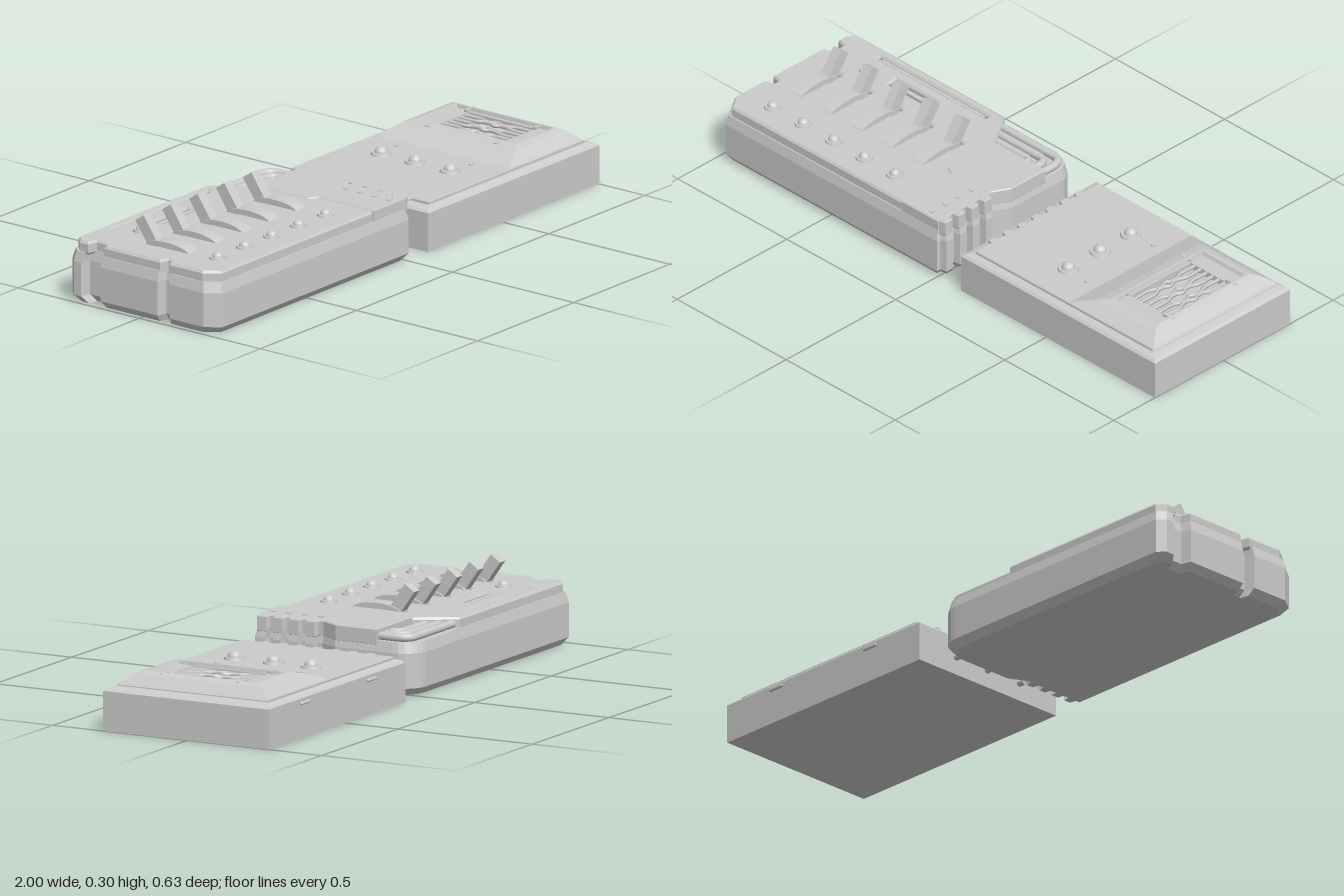
import * as THREE from 'three';

const grey = new THREE.MeshStandardMaterial({ color: 0xcccccc });
const flat = new THREE.MeshStandardMaterial({ color: 0xcccccc, flatShading: true });

function add(parent, name, geo, x = 0, y = 0, z = 0, mat = grey) {
  const m = new THREE.Mesh(geo, mat);
  m.name = name;
  m.position.set(x, y, z);
  parent.add(m);
  return m;
}
const box = (p, name, w, h, d, x, y, z) => add(p, name, new THREE.BoxGeometry(w, h, d), x, y, z);

// Rectangle as [x, z] corners
const rect = (x0, x1, z0, z1) => [[x0, z0], [x1, z0], [x1, z1], [x0, z1]];

// Skin through a list of { y, pts } loops (pts are [x, z]), closed at both ends
function loft(layers) {
  const pos = [];
  const put = (l, i) => { const n = l.pts.length, p = l.pts[i % n]; pos.push(p[0], l.y, p[1]); };
  for (let k = 0; k < layers.length - 1; k++) {
    const a = layers[k], b = layers[k + 1];
    for (let i = 0; i < a.pts.length; i++) {
      put(a, i); put(b, i); put(a, i + 1);
      put(a, i + 1); put(b, i); put(b, i + 1);
    }
  }
  const cap = (l, order) => {
    const v = l.pts.map(p => new THREE.Vector2(p[0], p[1]));
    for (const t of THREE.ShapeUtils.triangulateShape(v, [])) order.forEach(o => put(l, t[o]));
  };
  cap(layers[0], [0, 1, 2]);
  cap(layers[layers.length - 1], [0, 2, 1]);
  const g = new THREE.BufferGeometry();
  g.setAttribute('position', new THREE.Float32BufferAttribute(pos, 3));
  g.computeVertexNormals();
  return g;
}

// Horizontal slab with its top at the given height, with optional holes
function slab(pts, top, h, bevel = 0, holes = []) {
  const vec = a => a.map(p => new THREE.Vector2(p[0], p[1]));
  const shape = new THREE.Shape(vec(pts));
  shape.holes = holes.map(a => new THREE.Path(vec(a).reverse()));
  const g = new THREE.ExtrudeGeometry(shape, {
    depth: h - 2 * bevel, bevelEnabled: bevel > 0, bevelThickness: bevel, bevelSize: bevel * 0.7, bevelSegments: 1,
  });
  g.rotateX(Math.PI / 2);
  return g.translate(0, top - bevel, 0);
}

// Button: a round collar with a dome
function button(p, name, x, y, z, r) {
  const g = new THREE.Group();
  g.name = name;
  g.position.set(x, y, z);
  add(g, 'collar', new THREE.CylinderGeometry(r, r * 1.1, 0.01, 20), 0, 0.004, 0);
  add(g, 'dome', new THREE.SphereGeometry(r * 0.7, 16, 8, 0, Math.PI * 2, 0, Math.PI / 2), 0, 0.006, 0);
  p.add(g);
}

function switchBox() {
  const g = new THREE.Group();
  g.name = 'switchBox';
  const cx = -0.4825, cz = 0.01, hw = 0.5175, hd = 0.305;
  const inset = (pts, d) => pts.map(([x, z]) => [cx + (x - cx) * (1 - d / hw), cz + (z - cz) * (1 - d / hd)]);

  // Notched left end, front to back
  const left = [[-0.965, 0.315], [-1, 0.265]];
  for (const [z, w] of [[0.1, 0.025], [-0.2, 0.04]])
    left.push([-1, z + w], [-0.965, z + w - 0.01], [-0.965, z - w + 0.01], [-1, z - w]);
  left.push([-1, -0.27], [-0.975, -0.295]);

  // Rounded back corner and toothed right end, back to front
  const right = [];
  for (let i = 0; i <= 6; i++) {
    const a = i / 6 * Math.PI / 2;
    right.push([-0.045 + 0.08 * Math.sin(a), -0.215 - 0.08 * Math.cos(a)]);
  }
  right.push([0.035, 0], [0.003, 0.065]);
  for (const z of [0.1, 0.16, 0.22, 0.28])
    right.push([0.003, z - 0.018], [0.027, z - 0.014], [0.027, z + 0.014], [0.003, z + 0.018]);
  right.push([0.003, 0.315]);
  const outline = [...left, ...right];
  add(g, 'body', loft([
    { y: 0, pts: inset(outline, 0.02) }, { y: 0.025, pts: outline },
    { y: 0.14, pts: outline }, { y: 0.175, pts: inset(outline, 0.008) },
  ]));

  // Top plate with slots
  const levers = [0, 1, 2, 3, 4].map(i => -0.855 + i * 0.14);
  const plate = [...inset(left, 0.018), [-0.29, -0.277], [-0.2, -0.14], [-0.16, -0.14], [-0.16, 0.297]];
  const holes = [rect(-0.83, -0.32, -0.258, -0.228), rect(-0.7, -0.5, -0.2, -0.145),
    ...levers.map(x => rect(x - 0.03, x + 0.03, -0.09, -0.02))];
  add(g, 'topPlate', slab(plate, 0.21, 0.045, 0.008, holes));
  box(g, 'backSlotBar', 0.47, 0.03, 0.012, -0.575, 0.188, -0.243);
  box(g, 'ventBar', 0.19, 0.03, 0.016, -0.6, 0.188, -0.172);

  // Raised end panel
  const panel = [[-0.2, -0.15], [0.028, -0.15], [0.028, 0], [-0.004, 0.063]];
  for (const z of [0.1, 0.16, 0.22, 0.28])
    panel.push([-0.004, z - 0.018], [0.02, z - 0.014], [0.02, z + 0.014], [-0.004, z + 0.018]);
  panel.push([-0.004, 0.303], [-0.165, 0.303], [-0.165, 0.08], [-0.2, 0.06]);
  add(g, 'endPanel', slab(panel, 0.214, 0.055, 0.004));
  for (const z of [0.1, 0.16, 0.22, 0.28]) box(g, 'panelStud', 0.016, 0.006, 0.016, -0.052, 0.214, z);

  // Bent pipes in the back corner
  for (let i = 0; i < 3; i++) {
    const z = -0.258 + i * 0.036, x = 0.005 - i * 0.036, r = 0.05 - i * 0.01;
    const path = new THREE.CurvePath();
    const v = (a, b) => new THREE.Vector3(a, 0.187, b);
    path.add(new THREE.LineCurve3(v(-0.32, z), v(x - r, z)));
    path.add(new THREE.QuadraticBezierCurve3(v(x - r, z), v(x, z), v(x, z + r)));
    path.add(new THREE.LineCurve3(v(x, z + r), v(x, -0.13)));
    add(g, 'pipe', new THREE.TubeGeometry(path, 48, 0.014, 10));
  }

  // Levers, their curved guards and buttons
  for (const x of levers) {
    const guard = new THREE.CylinderGeometry(0.09, 0.09, 0.05, 32).rotateZ(Math.PI / 2).scale(1, 0.29, 1);
    add(g, 'leverGuard', guard, x, 0.204, 0.02);
    const lever = box(g, 'lever', 0.036, 0.13, 0.042, x, 0.236, -0.063);
    lever.rotation.x = -0.61;
    button(g, 'frontButton', x, 0.208, 0.21, 0.027);
  }
  button(g, 'backButton', -0.79, 0.208, -0.158, 0.026);
  return g;
}

function speakerBox() {
  const g = new THREE.Group();
  g.name = 'speakerBox';

  // Base with a bevelled rim
  add(g, 'base', loft([
    { y: 0, pts: rect(0.11, 1, -0.305, 0.312) }, { y: 0.132, pts: rect(0.11, 1, -0.305, 0.312) },
    { y: 0.14, pts: rect(0.118, 0.99, -0.297, 0.304) }, { y: 0.146, pts: rect(0.14, 0.968, -0.284, 0.29) },
  ]));
  // Face plate with a notched left edge
  const pts = [[0.15, 0.28]];
  for (let i = 0; i < 7; i++) {
    const z = 0.195 - i * 0.065;
    pts.push([0.15, z + 0.016], [0.132, z + 0.01], [0.132, z - 0.01], [0.15, z - 0.016]);
  }
  pts.push([0.15, -0.28], [0.955, -0.28], [0.955, 0.28]);
  add(g, 'facePlate', slab(pts, 0.156, 0.016, 0.003));

  // Hump with a stepped grille well
  add(g, 'grilleHousing', loft([
    { y: 0.15, pts: rect(0.56, 0.962, -0.28, 0.28) }, { y: 0.156, pts: rect(0.575, 0.957, -0.276, 0.276) },
    { y: 0.186, pts: rect(0.66, 0.925, -0.235, 0.235) }, { y: 0.194, pts: rect(0.695, 0.908, -0.21, 0.21) },
    { y: 0.194, pts: rect(0.705, 0.9, -0.198, 0.198) }, { y: 0.182, pts: rect(0.708, 0.897, -0.192, 0.192) },
    { y: 0.182, pts: rect(0.715, 0.885, -0.135, 0.14) }, { y: 0.16, pts: rect(0.715, 0.885, -0.135, 0.14) },
  ]));

  // Wavy grille bars
  for (let i = 0; i < 6; i++) {
    const s = i % 2 ? -1 : 1, x = 0.73 + i * 0.028;
    const path = new THREE.CatmullRomCurve3([[0, -0.135], [0, -0.07], [0.01, -0.045], [0.01, -0.02], [0, 0],
      [0.01, 0.02], [0.01, 0.045], [0, 0.07], [0, 0.14]].map(([d, z]) => new THREE.Vector3(x + s * d, 0.175, z)));
    add(g, 'grilleBar', new THREE.TubeGeometry(path, 40, 0.007, 6));
  }
  for (const z of [-0.14, 0.145]) for (const x of [0.69, 0.895])
    box(g, 'grilleClip', 0.045, 0.008, 0.012, x, 0.188, z);

  // Buttons, studs and edge pegs
  for (const z of [-0.14, 0, 0.145]) {
    button(g, 'faceButton', 0.435, 0.155, z, 0.033);
    const peg = new THREE.CylinderGeometry(0.011, 0.011, 0.035, 12).rotateZ(Math.PI / 2);
    add(g, 'sidePeg', peg, 0.1015, 0.06, z);
  }
  for (const z of [-0.15, 0.155])
    add(g, 'faceStud', new THREE.CylinderGeometry(0.009, 0.009, 0.008, 8), 0.53, 0.156, z, flat);
  for (const x of [0.335, 0.77])
    add(g, 'backPeg', new THREE.CapsuleGeometry(0.006, 0.05, 4, 8).rotateZ(Math.PI / 2), x, 0.117, -0.309);
  return g;
}

export function createModel() {
  const model = new THREE.Group();
  model.name = 'controlSet';
  model.add(switchBox(), speakerBox());
  return model;
}
